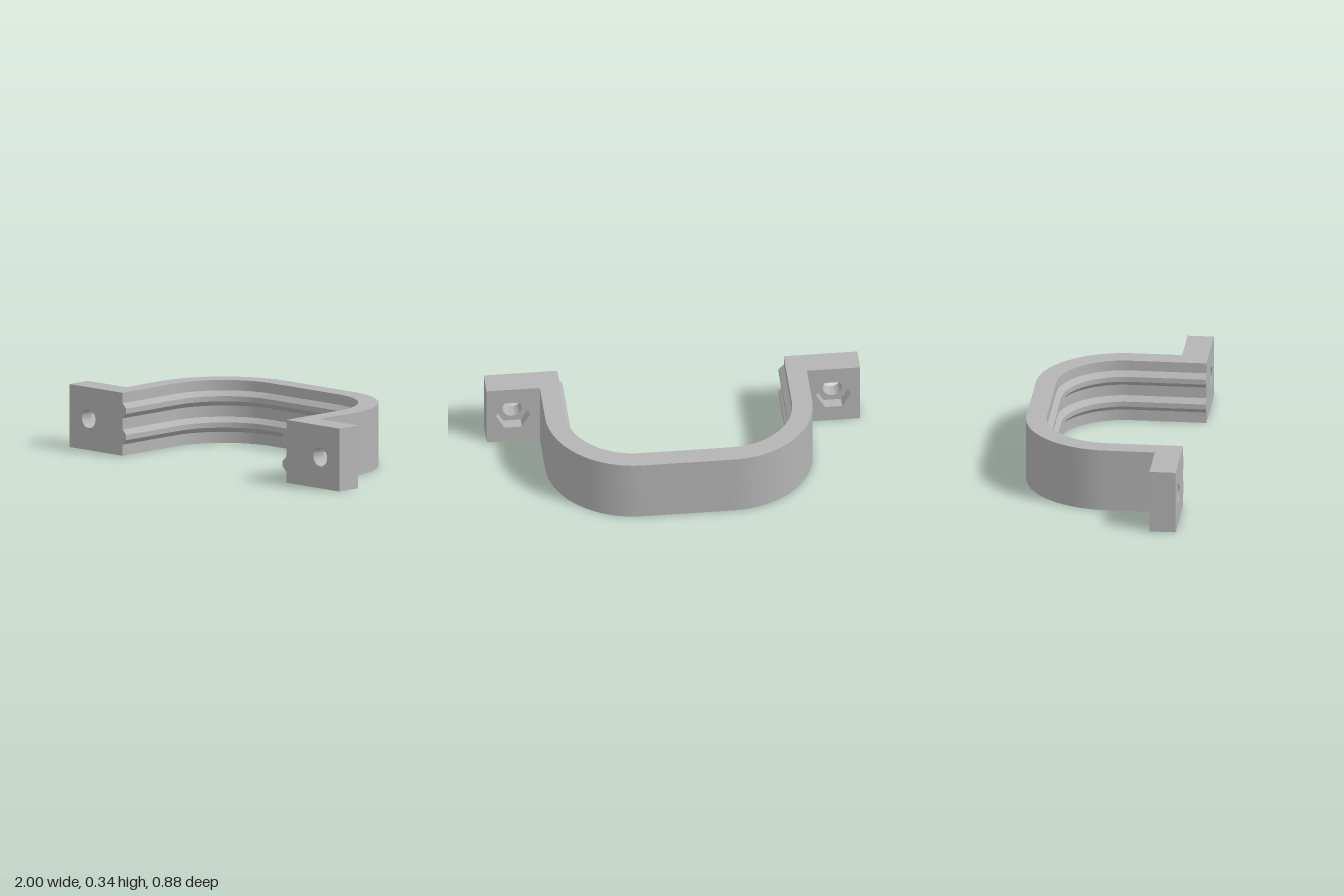
import * as THREE from 'three';
import { toCreasedNormals } from 'three/addons/utils/BufferGeometryUtils.js';

const HEIGHT = 0.34, FRONT = 0.4375;
const BEND_X = 0.245, BEND_Z = 0.0325;           // centres of the two bends
const OUTER = 0.47, INNER = 0.361, CREST = 0.334; // radii from the bend centres
const EAR_BACK = 0.297, POCKET_FLOOR = 0.36, EAR_END = 1;

// Sweeps the ridged strap section around the bracket path
function strapGeometry() {
  const ridge = (y) => [[INNER, y + 0.041], [CREST, y + 0.014], [CREST, y - 0.014], [INNER, y - 0.041]];
  const profile = [
    [OUTER, 0], [OUTER, HEIGHT], [INNER, HEIGHT],
    ...ridge(0.243), ...ridge(0.101), [INNER, 0],
  ];

  // Path stations: base point and outward direction
  const stations = [[BEND_X, FRONT, 1, 0]];
  const steps = 24;
  for (const side of [1, -1]) {
    for (let i = 0; i <= steps; i++) {
      const a = (side > 0 ? i : steps - i) / steps * Math.PI / 2;
      stations.push([side * BEND_X, BEND_Z, side * Math.cos(a), -Math.sin(a)]);
    }
  }
  stations.push([-BEND_X, FRONT, -1, 0]);

  const positions = [], index = [], n = profile.length;
  for (const [x, z, nx, nz] of stations) {
    for (const [r, y] of profile) positions.push(x + nx * r, y, z + nz * r);
  }
  for (let i = 0; i < stations.length - 1; i++) {
    for (let j = 0; j < n; j++) {
      const a = i * n + j, b = i * n + (j + 1) % n;
      index.push(a, a + n, b, b, a + n, b + n);
    }
  }

  // End caps
  const last = (stations.length - 1) * n;
  const section = profile.map(([r, y]) => new THREE.Vector2(r, y));
  for (const [a, b, c] of THREE.ShapeUtils.triangulateShape(section, [])) {
    index.push(a, b, c, last + a, last + c, last + b);
  }

  const geometry = new THREE.BufferGeometry();
  geometry.setAttribute('position', new THREE.Float32BufferAttribute(positions, 3));
  geometry.setIndex(index);
  return toCreasedNormals(geometry, 0.5);
}

// Ear slab between two depths, pierced by a regular polygon
function earSlab(zBack, zFront, sides, radius) {
  const w = (EAR_END - BEND_X - OUTER) / 2, h = HEIGHT / 2;
  const shape = new THREE.Shape([[-w, -h], [w, -h], [w, h], [-w, h]].map((p) => new THREE.Vector2(...p)));
  const hole = [];
  for (let i = 0; i < sides; i++) {
    const a = -i / sides * Math.PI * 2;
    hole.push(new THREE.Vector2(Math.cos(a) * radius, Math.sin(a) * radius));
  }
  shape.holes.push(new THREE.Path(hole));
  const geometry = new THREE.ExtrudeGeometry(shape, { depth: zFront - zBack, bevelEnabled: false });
  geometry.translate(0, h, zBack);
  return toCreasedNormals(geometry, 0.5);
}

export function createModel() {
  const grey = new THREE.MeshStandardMaterial({ color: 0xb4b4b4 });
  grey.name = 'grey';
  const model = new THREE.Group();
  model.name = 'pipeClamp';

  const add = (parent, name, geometry) => {
    const mesh = new THREE.Mesh(geometry, grey);
    mesh.name = name;
    parent.add(mesh);
  };

  add(model, 'ridgedStrap', strapGeometry());

  // Mounting ears: round bolt hole in front, hexagonal nut pocket behind
  const boltPlate = earSlab(POCKET_FLOOR, FRONT, 40, 0.051);
  const nutPlate = earSlab(EAR_BACK, POCKET_FLOOR, 6, 0.093);
  for (const side of [1, -1]) {
    const ear = new THREE.Group();
    ear.name = side > 0 ? 'leftEar' : 'rightEar';
    ear.position.x = side * (EAR_END + BEND_X + OUTER) / 2;
    add(ear, 'boltHolePlate', boltPlate);
    add(ear, 'nutPocketPlate', nutPlate);
    model.add(ear);
  }
  return model;
}
